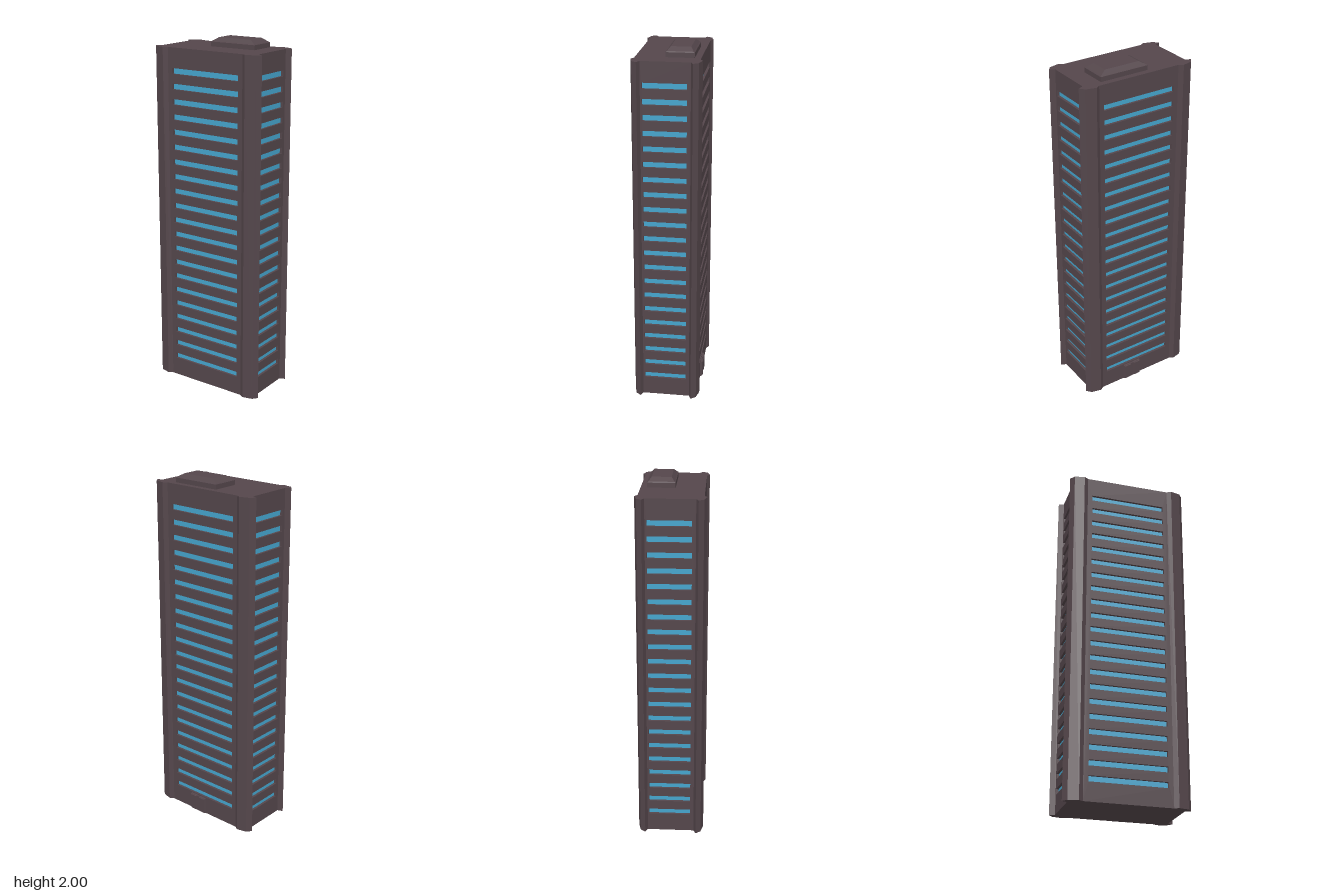
import * as THREE from 'three';

const H = 1.95;              // height of the tower body
const BX = 0.318, BZ = 0.172; // half width and half depth of the walls
const PX = 0.245, PZ = 0.132; // where the corner pillars begin
const T = 0.016;             // depth of the window recesses
const ROWS = 21, FIRST = 0.122, STEP = 0.085, SLOT = 0.032;

const dark = new THREE.MeshStandardMaterial({ color: 0x54464b, flatShading: true });
const blue = new THREE.MeshStandardMaterial({ color: 0x45a5cd, flatShading: true });

function add(parent, name, geometry, material = dark) {
  const mesh = new THREE.Mesh(geometry, material);
  mesh.name = name;
  parent.add(mesh);
  return mesh;
}

function polygon(points) {
  return new THREE.Shape(points.map(([x, y]) => new THREE.Vector2(x, y)));
}

function rect(cx, cy, w, h) {
  return [[cx - w / 2, cy - h / 2], [cx + w / 2, cy - h / 2], [cx + w / 2, cy + h / 2], [cx - w / 2, cy + h / 2]];
}

// Wall panel with a column of slots and a recessed pane behind each
function wall(name, width, distance, angle, slotWidth, slotX) {
  const group = new THREE.Group();
  group.name = name;
  const shape = polygon(rect(0, H / 2, width, H));
  for (let i = 0; i < ROWS; i++) {
    const y = FIRST + i * STEP;
    shape.holes.push(polygon(rect(slotX, y, slotWidth, SLOT)));
    add(group, 'windowPane', new THREE.PlaneGeometry(slotWidth, SLOT), blue)
      .position.set(slotX, y, distance - T + 0.002);
  }
  add(group, 'wallPanel', new THREE.ExtrudeGeometry(shape, { depth: T, bevelEnabled: false }))
    .position.z = distance - T;
  group.rotation.y = angle;
  return group;
}

// Box standing on y = 0 whose top is inset by ix and iz
function taperedBox(w, h, d, ix, iz) {
  const g = new THREE.BoxGeometry(w, h, d).translate(0, h / 2, 0);
  const p = g.attributes.position;
  for (let i = 0; i < p.count; i++) {
    if (p.getY(i) < h / 2) continue;
    p.setX(i, p.getX(i) - Math.sign(p.getX(i)) * ix);
    p.setZ(i, p.getZ(i) - Math.sign(p.getZ(i)) * iz);
  }
  g.computeVertexNormals();
  return g;
}

export function createModel() {
  const tower = new THREE.Group();
  tower.name = 'tower';

  // Inner block closes the roof, the underside and the slots
  add(tower, 'core', new THREE.BoxGeometry(2 * (BX - T), H, 2 * (BZ - T))).position.y = H / 2;

  // Four slotted walls
  tower.add(
    wall('frontWall', 2 * PX, BZ, 0, 0.434, 0),
    wall('backWall', 2 * PX, BZ, Math.PI, 0.434, 0),
    wall('leftWall', 2 * PZ, BX, Math.PI / 2, 0.234, -0.005),
    wall('rightWall', 2 * PZ, BX, -Math.PI / 2, 0.234, -0.005),
  );

  // Flared corner pillars wrapping the core
  const pillar = [
    [PX, BZ], [0.269, 0.187], [0.326, 0.173], [0.348, 0.145], [BX, PZ],
    [BX - T, PZ], [BX - T, BZ - T], [PX, BZ - T],
  ];
  for (const sx of [-1, 1]) for (const sz of [-1, 1]) {
    const shape = polygon(pillar.map(([x, z]) => [x * sx, z * sz]));
    add(tower, 'cornerPillar', new THREE.ExtrudeGeometry(shape, { depth: H, bevelEnabled: false }))
      .rotation.x = -Math.PI / 2;
  }

  // Roof housing: upright base, narrow rim, sloped cap
  const housing = new THREE.Group();
  housing.name = 'roofHousing';
  housing.position.set(0.071, H, -0.062);
  add(housing, 'housingBase', taperedBox(0.284, 0.026, 0.152, 0, 0));
  add(housing, 'housingRim', taperedBox(0.284, 0.005, 0.152, 0.006, 0.006)).position.y = 0.026;
  add(housing, 'housingCap', taperedBox(0.272, 0.019, 0.14, 0.033, 0.017)).position.y = 0.031;
  tower.add(housing);

  // Double door low on the back, with chamfered leaves
  const door = new THREE.Group();
  door.name = 'backDoor';
  door.position.set(0.04, 0.05, -BZ);
  add(door, 'doorFrame', new THREE.BoxGeometry(0.1, 0.096, 0.009)).position.z = -0.0045;
  for (const s of [-1, 1]) {
    const leaf = add(door, 'doorLeaf', taperedBox(0.048, 0.014, 0.1, 0.005, 0.005));
    leaf.rotation.x = -Math.PI / 2;
    leaf.position.x = s * 0.032;
  }
  tower.add(door);

  return tower;
}
